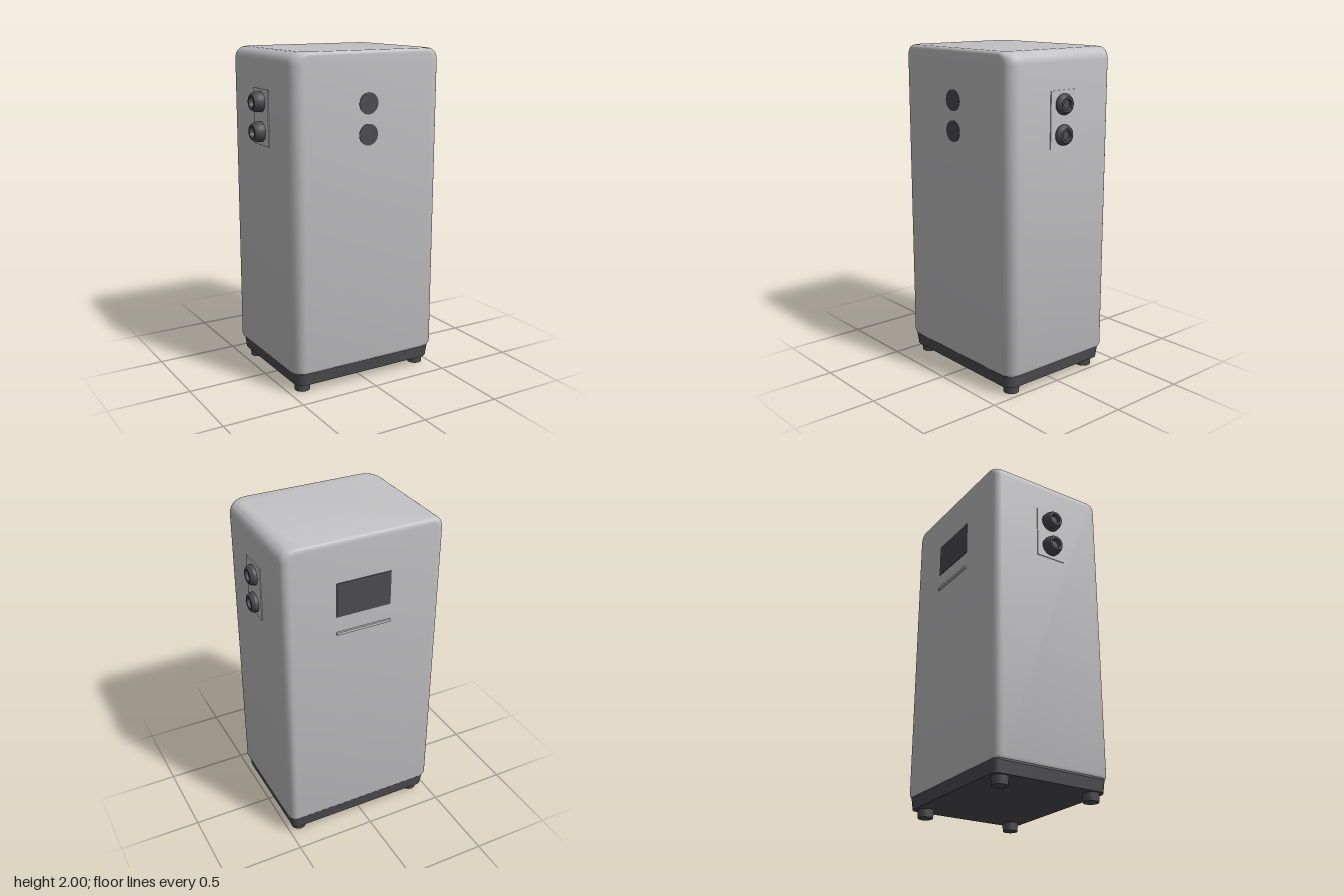
import * as THREE from 'three';
import { toCreasedNormals } from 'three/addons/utils/BufferGeometryUtils.js';

const shell = new THREE.MeshStandardMaterial({ color: 0xc2c2c4 });
shell.name = 'lightGreyShell';
const dark = new THREE.MeshStandardMaterial({ color: 0x4c4c50 });
dark.name = 'darkGreyPlastic';

const CX = 0.01; // cabinet centre line

// Rounded rectangle outline in x/z, one corner at a time
function outline(hx, hz, rFront, rBack, steps = 8) {
  const points = [];
  const corners = [[1, 1, rFront], [-1, 1, rFront], [-1, -1, rBack], [1, -1, rBack]];
  corners.forEach(([sx, sz, r], c) => {
    for (let i = 0; i <= steps; i++) {
      const a = (c + i / steps) * Math.PI / 2;
      points.push([sx * (hx - r) + r * Math.cos(a), sz * (hz - r) + r * Math.sin(a)]);
    }
  });
  return points;
}

// Skin a stack of outlines, each given as [y, halfX, halfZ], and cap both ends
function loft(levels, rFront, rBack) {
  const position = [], index = [];
  const n = outline(1, 1, rFront, rBack).length;
  for (const [y, hx, hz] of levels)
    for (const [x, z] of outline(hx, hz, rFront, rBack)) position.push(x, y, z);
  for (let k = 0; k < levels.length - 1; k++)
    for (let i = 0; i < n; i++) {
      const a = k * n + i, b = k * n + (i + 1) % n;
      index.push(a, a + n, b, b, a + n, b + n);
    }
  const last = (levels.length - 1) * n;
  for (let i = 1; i < n - 1; i++) {
    index.push(0, i, i + 1);
    index.push(last, last + i + 1, last + i);
  }
  const geometry = new THREE.BufferGeometry();
  geometry.setAttribute('position', new THREE.Float32BufferAttribute(position, 3));
  geometry.setIndex(index);
  return toCreasedNormals(geometry, 0.6);
}

// Inset of a quarter-round edge at distance d from the end
const roundInset = (d, r) => d >= r ? 0 : r - Math.sqrt(r * r - (r - d) ** 2);

export function createModel() {
  const model = new THREE.Group();
  const add = (name, geometry, material, x, y, z, parent = model) => {
    const mesh = new THREE.Mesh(geometry, material);
    mesh.name = name;
    mesh.position.set(x, y, z);
    parent.add(mesh);
    return mesh;
  };

  // Cabinet: soft side edges, tighter front and back edges
  const levels = [[0.12, 0.48, 0.375], [0.128, 0.493, 0.385], [0.145, 0.5, 0.39]];
  for (const d of [0.07, 0.055, 0.04, 0.028, 0.02, 0.013, 0.007, 0.003, 0])
    levels.push([2 - d, 0.5 - roundInset(d, 0.07), 0.39 - roundInset(d, 0.02)]);
  add('cabinet', loft(levels, 0.075, 0.05), shell, CX, 0, 0);

  // Plinth and feet
  add('plinth', loft([[0.05, 0.475, 0.375], [0.125, 0.482, 0.383]], 0.06, 0.04), dark, CX, 0, 0);
  const foot = new THREE.CylinderGeometry(0.05, 0.046, 0.06, 24);
  for (const sx of [-1, 1])
    for (const sz of [-1, 1]) add('foot', foot, dark, CX + sx * 0.412, 0.03, sz * 0.304);

  // Round indicators on the front
  const disc = new THREE.CylinderGeometry(0.063, 0.063, 0.006, 32).rotateX(Math.PI / 2);
  for (const y of [1.7, 1.52]) add('frontDisc', disc, dark, 0, y, 0.39);

  // Pipe ports with a dished face, in pairs on shallow mounting plates
  const profile = [[0, 0.6], [0.028, 0.6], [0.032, 1], [0.045, 1], [0.052, 0.85], [0.06, 0.5], [0.06, 0]];
  const plate = new THREE.BoxGeometry(0.01, 0.33, 0.19);
  for (const [side, depth, lower] of [[1, 0.042, 1.52], [-1, 0.066, 1.525]]) {
    const ports = new THREE.Group();
    ports.name = side > 0 ? 'leftPorts' : 'rightPorts';
    ports.position.x = CX + side * 0.5;
    model.add(ports);
    add('portPlate', plate, shell, 0, 1.61, 0, ports);
    const points = profile.map(([r, t]) => new THREE.Vector2(r, t * depth)).reverse();
    const port = toCreasedNormals(new THREE.LatheGeometry(points, 32), 0.4);
    port.rotateZ(-side * Math.PI / 2);
    for (const y of [lower, lower + 0.175]) add('port', port, dark, 0, y, 0, ports);
  }

  // Display and the narrow lip below it on the back
  add('display', new THREE.BoxGeometry(0.34, 0.21, 0.008), dark, 0.02, 1.64, -0.39);
  add('displayLip', new THREE.BoxGeometry(0.34, 0.016, 0.02), shell, 0.02, 1.43, -0.392);
  return model;
}
